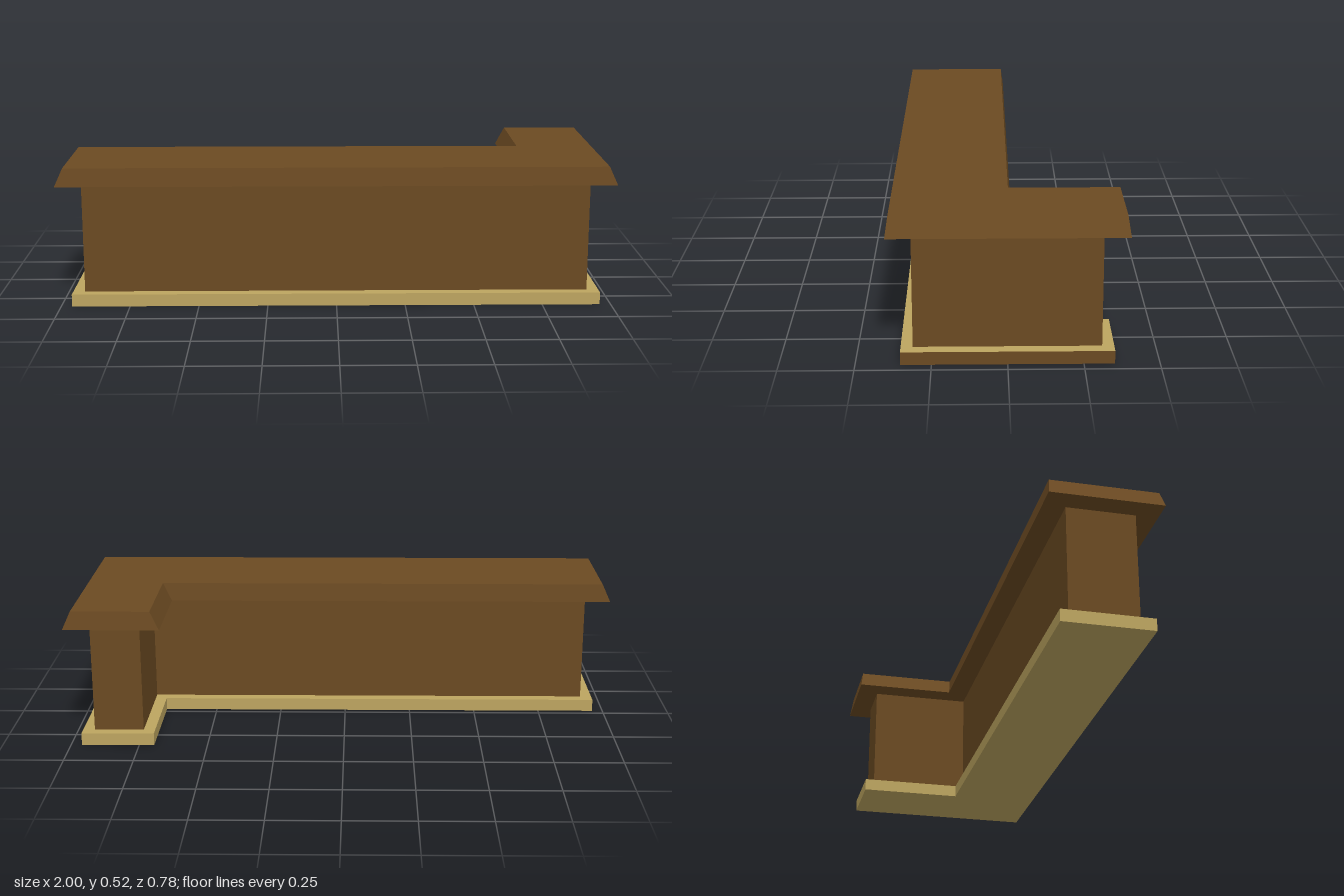
import * as THREE from 'three';

const wood = new THREE.MeshStandardMaterial({ name: 'brownWood', color: 0x6b4a22 });
const tan = new THREE.MeshStandardMaterial({ name: 'tanTrim', color: 0xbda560 });

// L-shaped plan, counter-clockwise from above; corner 4 is the inner corner
const plan = (x, z, innerX, innerZ) => [
  [-x, z], [x, z], [x, -z], [innerX, -z], [innerX, innerZ], [-x, innerZ],
];

// Solid between two L plans. Group 0: all faces but the left (+x) side; group 1: that side
function lSolid(name, low, y0, high, y1, materials) {
  const bottom = low.map(([x, z]) => [x, y0, z]);
  const top = high.map(([x, z]) => [x, y1, z]);
  const main = [], left = [];
  for (let i = 0; i < 6; i++) {
    const j = (i + 1) % 6;
    (i === 1 ? left : main).push(
      bottom[i], bottom[j], top[j], bottom[i], top[j], top[i]);
  }
  // Both lids fan out from the inner corner
  for (const [a, b] of [[5, 0], [0, 1], [1, 2], [2, 3]]) {
    main.push(top[4], top[a], top[b], bottom[4], bottom[b], bottom[a]);
  }
  const geometry = new THREE.BufferGeometry();
  geometry.setAttribute('position',
    new THREE.Float32BufferAttribute([...main, ...left].flat(), 3));
  geometry.addGroup(0, main.length, 0);
  geometry.addGroup(main.length, left.length, 1);
  geometry.computeVertexNormals();
  const mesh = new THREE.Mesh(geometry, materials);
  mesh.name = name;
  return mesh;
}

export function createModel() {
  const counter = new THREE.Group();
  counter.name = 'cornerCounter';

  const basePlan = plan(0.96, 0.352, 0.695, 0.026);
  const bodyPlan = plan(0.917, 0.312, 0.737, 0.066);
  const topLow = plan(1, 0.391, 0.655, -0.014);
  const topHigh = plan(0.97, 0.381, 0.688, -0.005);

  counter.add(
    lSolid('basePlinth', basePlan, 0, basePlan, 0.045, [tan, wood]),
    lSolid('counterBody', bodyPlan, 0.045, bodyPlan, 0.453, [wood, wood]),
    lSolid('counterTop', topLow, 0.453, topHigh, 0.519, [wood, wood]),
  );
  return counter;
}
